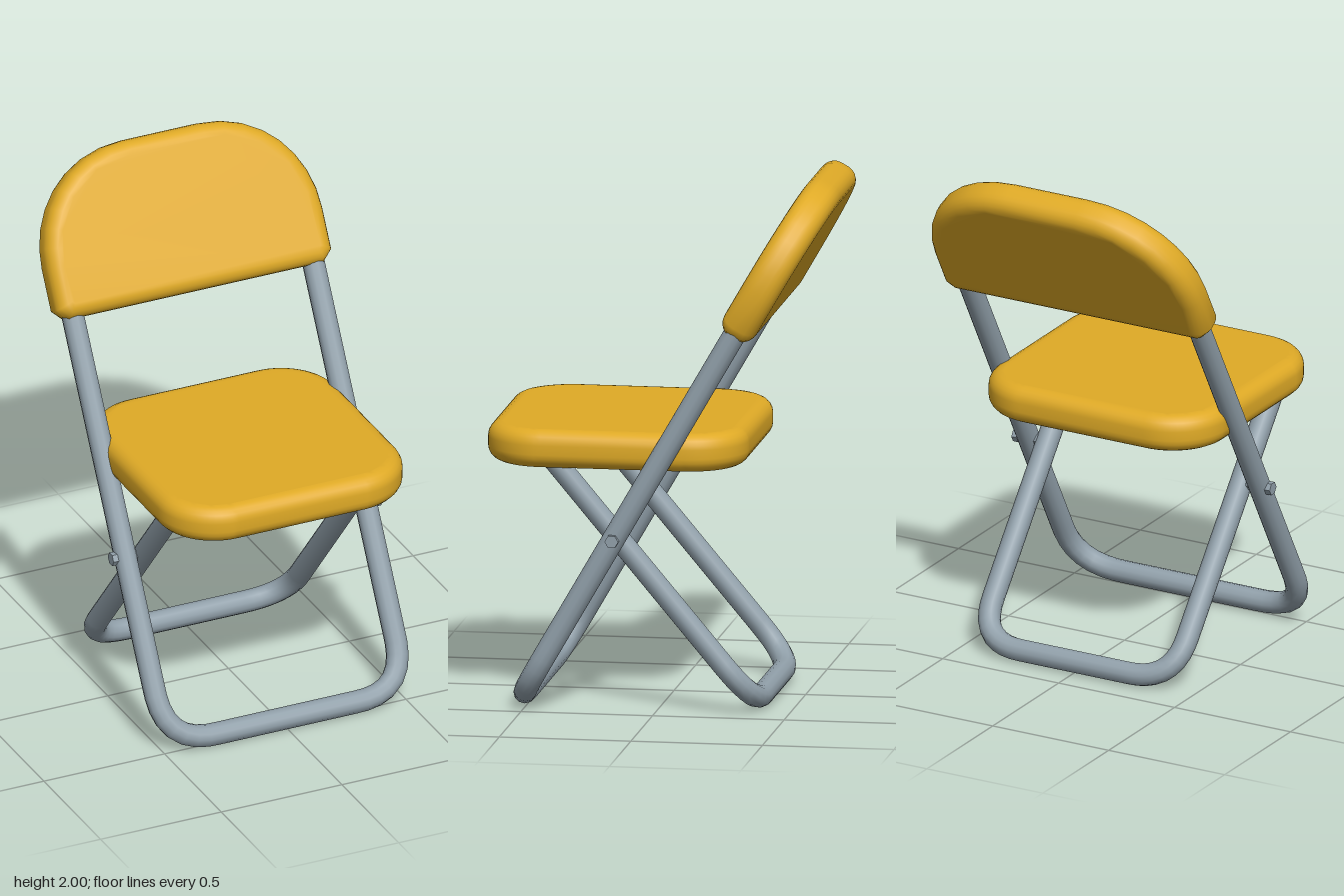
import * as THREE from 'three';
import { mergeVertices } from 'three/addons/utils/BufferGeometryUtils.js';

const paint = new THREE.MeshStandardMaterial({ color: 0xdfaa26 });
paint.name = 'yellowCushion';
const metal = new THREE.MeshStandardMaterial({ color: 0x91a0aa });
metal.name = 'greyMetal';

const TUBE_R = 0.043;

function addMesh(parent, name, geometry, material) {
  const mesh = new THREE.Mesh(geometry, material);
  mesh.name = name;
  parent.add(mesh);
  return mesh;
}

// Soft pad: a shape grown outward by a round bevel, centred on z = 0, smooth normals
function padGeometry(shape, thickness, bevel) {
  const depth = thickness - 2 * bevel;
  const extruded = new THREE.ExtrudeGeometry(shape, {
    depth, bevelThickness: bevel, bevelSize: bevel, bevelSegments: 5, curveSegments: 8,
  });
  extruded.translate(0, 0, -depth / 2);
  extruded.deleteAttribute('uv');
  extruded.deleteAttribute('normal');
  const smooth = mergeVertices(extruded, 1e-4);
  smooth.computeVertexNormals();
  return smooth;
}

// U-shaped tube standing in its own xy plane, crossbar along y = 0
function frameGeometry(halfWidth, height, corner) {
  const w = halfWidth, c = corner;
  const p = (x, y) => new THREE.Vector3(x, y, 0);
  const path = new THREE.CurvePath();
  path.add(new THREE.LineCurve3(p(-w, height), p(-w, c)));
  path.add(new THREE.QuadraticBezierCurve3(p(-w, c), p(-w, 0), p(-w + c, 0)));
  path.add(new THREE.LineCurve3(p(-w + c, 0), p(w - c, 0)));
  path.add(new THREE.QuadraticBezierCurve3(p(w - c, 0), p(w, 0), p(w, c)));
  path.add(new THREE.LineCurve3(p(w, c), p(w, height)));
  return new THREE.TubeGeometry(path, 96, TUBE_R, 12, false);
}

function seatShape(h, r) {
  const s = new THREE.Shape();
  s.moveTo(h, -h + r);
  s.lineTo(h, h - r);
  s.absarc(h - r, h - r, r, 0, Math.PI / 2);
  s.absarc(-h + r, h - r, r, Math.PI / 2, Math.PI);
  s.absarc(-h + r, -h + r, r, Math.PI, Math.PI * 1.5);
  s.absarc(h - r, -h + r, r, Math.PI * 1.5, Math.PI * 2);
  return s;
}

// Straight bottom, domed top
function backrestShape() {
  const w = 0.515, bottom = 1.473, shoulder = 1.62, top = 1.975, c = 0.01;
  const s = new THREE.Shape();
  s.moveTo(-w + c, bottom);
  s.lineTo(w - c, bottom);
  s.lineTo(w, bottom + c);
  s.lineTo(w, shoulder);
  s.bezierCurveTo(w, 1.8, 0.38, top, 0.15, top);
  s.lineTo(-0.15, top);
  s.bezierCurveTo(-0.38, top, -w, 1.8, -w, shoulder);
  s.lineTo(-w, bottom + c);
  return s;
}

export function createModel() {
  const chair = new THREE.Group();
  chair.name = 'foldingChair';

  // Seat pad
  const seat = addMesh(chair, 'seat', padGeometry(seatShape(0.44, 0.175), 0.145, 0.055), paint);
  seat.rotation.x = -Math.PI / 2;
  seat.position.set(0, 0.998, 0.165);

  // Backrest, leaning back in the plane of the front frame
  const lean = new THREE.Group();
  lean.name = 'backrestLean';
  lean.rotation.x = -Math.PI / 6;
  chair.add(lean);
  addMesh(lean, 'backrest', padGeometry(backrestShape(), 0.14, 0.055), paint).position.z = 0.462;

  // Long frame: front feet up to the backrest
  const frontFrame = addMesh(chair, 'frontFrame', frameGeometry(0.498, 1.82, 0.2), metal);
  frontFrame.position.set(0, TUBE_R, 0.51);
  frontFrame.rotation.x = -Math.PI / 6;

  // Short frame: rear feet up to the underside of the seat
  const rearFrame = addMesh(chair, 'rearFrame', frameGeometry(0.418, 1.25, 0.18), metal);
  rearFrame.position.set(0, TUBE_R, -0.375);
  rearFrame.rotation.x = 0.699;

  // Hexagonal pivot bolts where the frames cross
  for (const side of [-1, 1]) {
    const geometry = new THREE.CylinderGeometry(0.026, 0.026, 0.12, 6).toNonIndexed();
    geometry.computeVertexNormals();
    const bolt = addMesh(chair, side > 0 ? 'leftPivotBolt' : 'rightPivotBolt', geometry, metal);
    bolt.rotation.z = Math.PI / 2;
    bolt.position.set(side * 0.497, 0.67, 0.147);
  }
  return chair;
}
